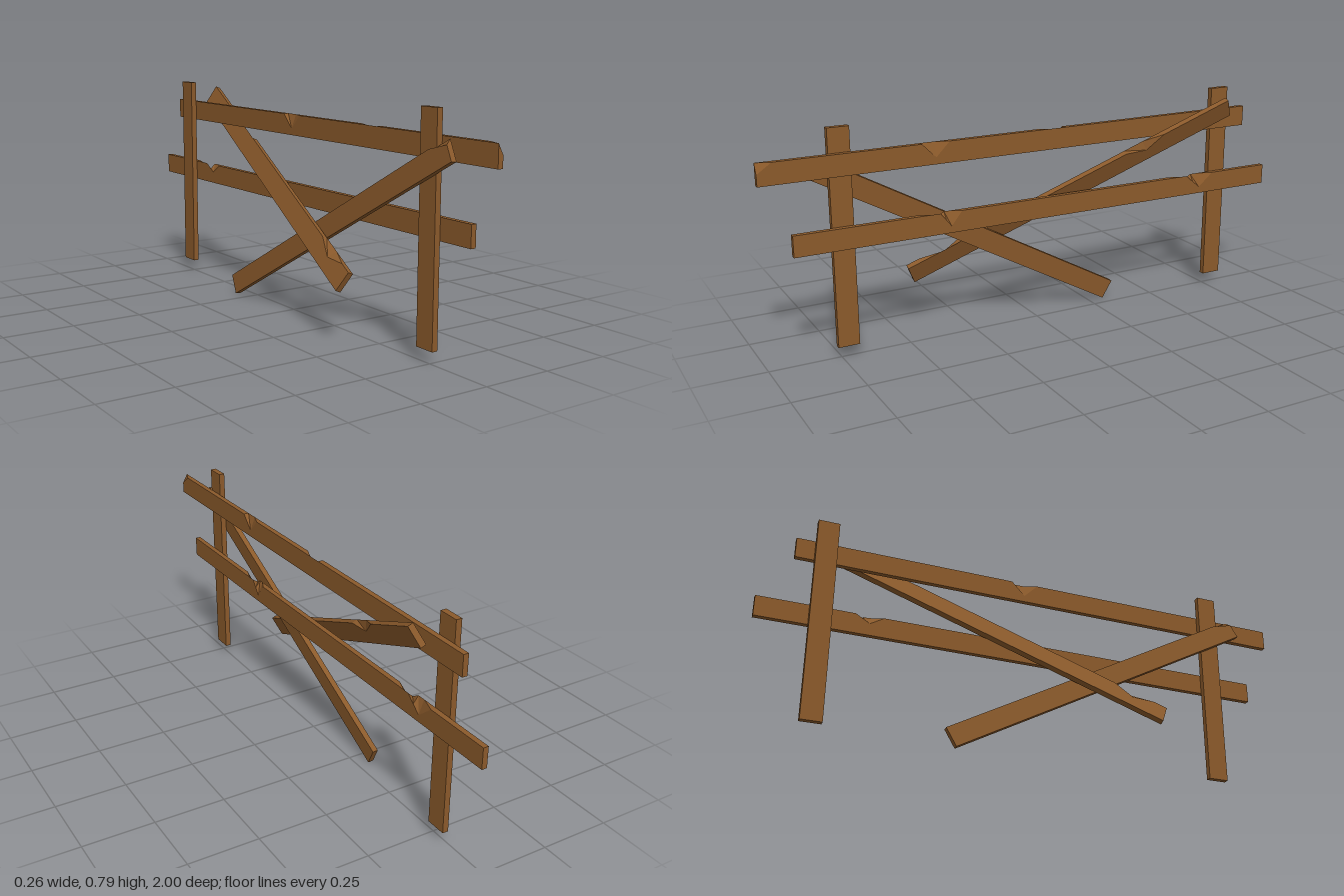
import * as THREE from 'three';

const wood = new THREE.MeshStandardMaterial({ color: 0x8b5a2b, flatShading: true });

// A plank from centre point a to centre point b; up points across its width.
// Each chip [t, half, side, drop] lowers the top corner on one side (+1 / -1)
// at distance t along the plank, fading out within half on both sides.
function plank(name, a, b, up, thick, width, chips = []) {
  const start = new THREE.Vector3(...a), end = new THREE.Vector3(...b);
  const along = end.clone().sub(start);
  const length = along.length();
  const z = along.normalize();
  const x = new THREE.Vector3(...up).cross(z).normalize();
  const y = z.clone().cross(x);

  const cuts = [0, length];
  for (const [t, half] of chips) cuts.push(t - half, t, t + half);
  const stations = [...new Set(cuts.filter((t) => t >= 0 && t <= length))].sort((p, q) => p - q);
  const n = stations.length - 1;

  const geometry = new THREE.BoxGeometry(thick, width, 1, 1, 1, n);
  const pos = geometry.attributes.position;
  for (let i = 0; i < pos.count; i++) {
    const t = stations[Math.round((pos.getZ(i) + 0.5) * n)];
    if (pos.getY(i) > 0) {
      for (const [c, half, side, drop] of chips) {
        const fade = Math.max(0, 1 - Math.abs(t - c) / half);
        if (pos.getX(i) * side > 0) pos.setY(i, pos.getY(i) - drop * fade);
      }
    }
    pos.setZ(i, t - length / 2);
  }
  geometry.applyMatrix4(new THREE.Matrix4().makeBasis(x, y, z));
  geometry.computeVertexNormals();

  const mesh = new THREE.Mesh(geometry, wood);
  mesh.name = name;
  mesh.position.copy(start).add(end).multiplyScalar(0.5);
  return mesh;
}

export function createModel() {
  const fence = new THREE.Group();
  fence.name = 'brokenFence';

  // Upright posts
  for (const [name, z, top] of [['frontPost', 0.727, 0.797], ['backPost', -0.782, 0.79]]) {
    const post = new THREE.Mesh(new THREE.BoxGeometry(0.021, top - 0.046, 0.075), wood);
    post.name = name;
    post.position.set(0.0065, (top + 0.046) / 2, z);
    fence.add(post);
  }

  // Horizontal rails with chipped top edges
  const vertical = [0, 1, 0];
  fence.add(plank('upperRail', [0.0265, 0.676, -0.885], [0.0265, 0.676, 1], vertical, 0.019, 0.074,
    [[0.845, 0.05, -1, 0.05], [1.285, 0.05, 1, 0.05], [1.885, 0.05, 1, 0.035]]));
  fence.add(plank('lowerRail', [0.0265, 0.429, -1], [0.0265, 0.429, 0.9], vertical, 0.019, 0.074,
    [[0.31, 0.06, 1, 0.05], [0.39, 0.05, -1, 0.03], [1.35, 0.04, 1, 0.05], [1.42, 0.05, -1, 0.03]]));

  // Fallen planks leaning across the back of the fence
  fence.add(plank('fallenPlank', [-0.048, 0.038, -0.328], [-0.009, 0.678, 0.832],
    [0.006, 0.065, -0.036], 0.02, 0.074, [[1.325, 0.08, -1, 0.02]]));
  fence.add(plank('leaningPlank', [0.105, 0.735, -0.755], [-0.107, 0.215, 0.45],
    [0.027, 0.065, 0.03], 0.02, 0.076, [[0.36, 0.08, 1, 0.03], [1.2, 0.08, -1, 0.03]]));

  return fence;
}
